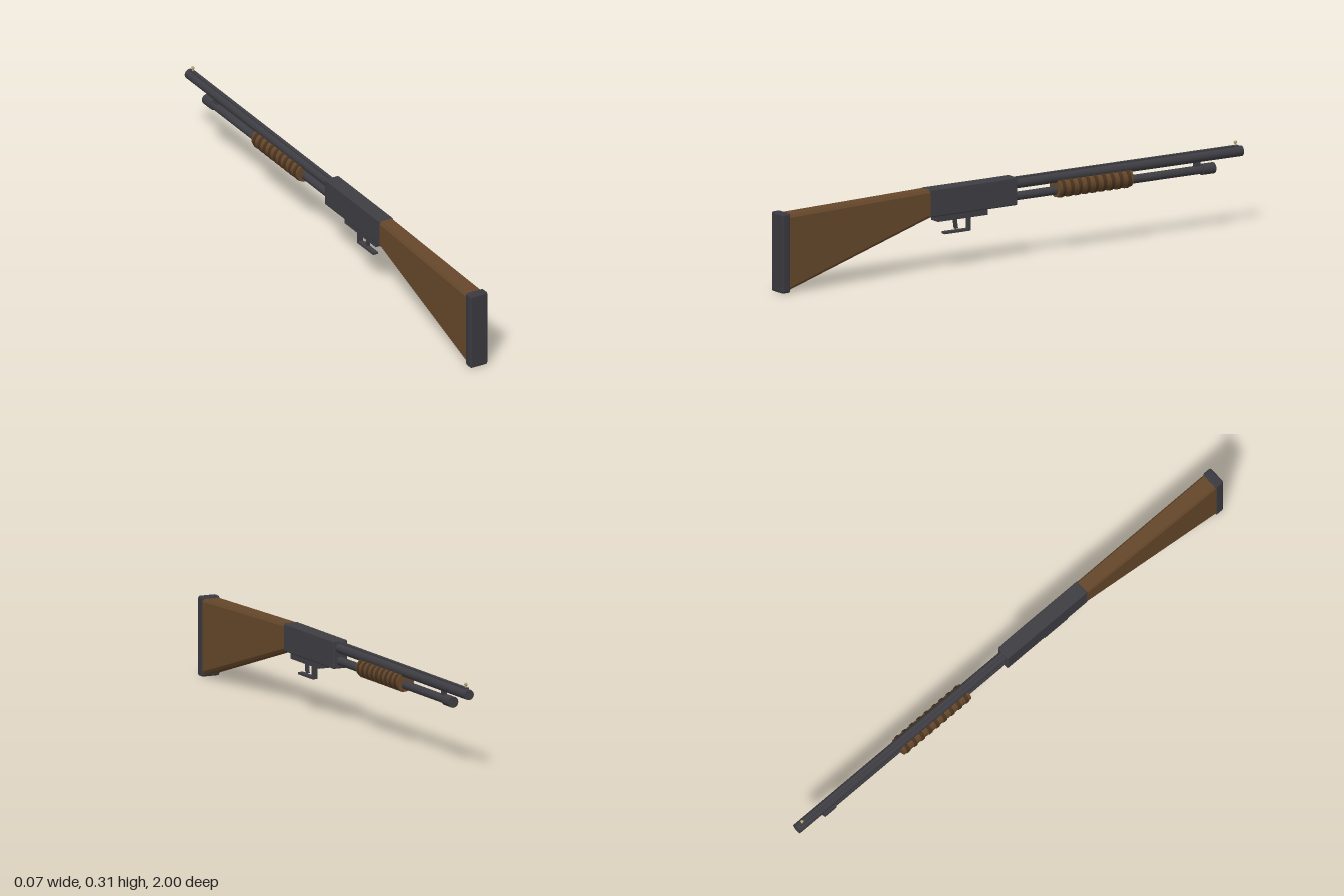
import * as THREE from 'three';
import { RoundedBoxGeometry } from 'three/addons/geometries/RoundedBoxGeometry.js';

const material = (name, color) => {
  const m = new THREE.MeshStandardMaterial({ color });
  m.name = name;
  return m;
};

// Chamfered rectangle outline, counter-clockwise seen from +z
function chamferedOutline(halfWidth, bottom, top, cx, cy) {
  const w = halfWidth;
  return [
    [w, bottom + cy], [w, top - cy], [w - cx, top], [cx - w, top],
    [-w, top - cy], [-w, bottom + cy], [cx - w, bottom], [w - cx, bottom],
  ];
}

// Flat-faced solid between two outlines, front (small z) to rear (large z)
function loft(a, za, b, zb) {
  const pos = [];
  const n = a.length;
  const put = (p, z) => pos.push(p[0], p[1], z);
  for (let i = 0; i < n; i++) {
    const j = (i + 1) % n;
    put(a[i], za); put(a[j], za); put(b[j], zb);
    put(a[i], za); put(b[j], zb); put(b[i], zb);
    if (i > 0 && i < n - 1) {
      put(a[0], za); put(a[j], za); put(a[i], za);
      put(b[0], zb); put(b[i], zb); put(b[j], zb);
    }
  }
  const g = new THREE.BufferGeometry();
  g.setAttribute('position', new THREE.Float32BufferAttribute(pos, 3));
  g.computeVertexNormals();
  return g;
}

export function createModel() {
  const model = new THREE.Group();
  model.name = 'pumpActionGun';
  const metal = material('dark metal', 0x3e3d43);
  const rubber = material('dark rubber', 0x3a393f);
  const wood = material('brown wood', 0x65472a);
  const darkWood = material('dark wood', 0x49331f);
  const brass = material('pale brass', 0xb5a273);

  const add = (name, geometry, mat, x = 0, y = 0, z = 0) => {
    const mesh = new THREE.Mesh(geometry, mat);
    mesh.name = name;
    mesh.position.set(x, y, z);
    model.add(mesh);
    return mesh;
  };
  // Box given by its y and z limits
  const box = (name, mat, width, y0, y1, z0, z1, round = 0, x = 0) => {
    const g = round
      ? new RoundedBoxGeometry(width, y1 - y0, z1 - z0, 2, round)
      : new THREE.BoxGeometry(width, y1 - y0, z1 - z0);
    return add(name, g, mat, x, (y0 + y1) / 2, (z0 + z1) / 2);
  };
  // Cylinder lying along z
  const rod = (name, mat, radius, y, z0, z1) => add(name,
    new THREE.CylinderGeometry(radius, radius, z1 - z0, 24).rotateX(Math.PI / 2),
    mat, 0, y, (z0 + z1) / 2);

  // Stock and butt pad
  add('stock', loft(
    chamferedOutline(0.028, 0.2, 0.3, 0.006, 0.01), 0.355,
    chamferedOutline(0.034, 0.01, 0.284, 0.006, 0.01), 0.97), wood);
  box('buttPad', rubber, 0.072, 0.002, 0.291, 0.963, 1, 0.008);

  // Receiver with side port and bolt slot
  box('receiver', metal, 0.057, 0.2, 0.301, -0.02, 0.36, 0.005);
  box('ejectionPort', metal, 0.005, 0.256, 0.288, 0.075, 0.195, 0, 0.0285);
  box('boltSlot', metal, 0.004, 0.252, 0.256, 0.075, 0.275, 0, 0.0278);

  // Barrel, top rib and magazine tube
  rod('barrel', metal, 0.019, 0.274, -1, -0.01);
  box('topRib', metal, 0.013, 0.285, 0.297, -0.985, -0.01);
  rod('magazineTube', metal, 0.0155, 0.227, -0.84, -0.01);
  rod('magazineCap', metal, 0.02, 0.227, -0.88, -0.827);
  box('barrelClamp', metal, 0.014, 0.235, 0.262, -0.82, -0.798);

  // Sliding fore-end with raised rings
  rod('foreEnd', wood, 0.0335, 0.236, -0.516, -0.2);
  for (let i = 0; i < 9; i++) {
    const z = -0.498 + i * 0.035;
    rod('foreEndRing', darkWood, 0.0365, 0.236, z - 0.0065, z + 0.0065);
  }

  // Trigger group: plate, open guard and slanted trigger
  box('triggerPlate', metal, 0.042, 0.179, 0.205, 0.106, 0.32);
  box('guardPost', metal, 0.02, 0.129, 0.182, 0.173, 0.181);
  box('guardBar', metal, 0.02, 0.128, 0.136, 0.173, 0.283);
  const trigger = box('trigger', metal, 0.012, 0.141, 0.184, 0.227, 0.238);
  trigger.rotation.x = 0.15;

  // Front bead sight
  add('sightPost', new THREE.CylinderGeometry(0.0025, 0.004, 0.014, 12), brass, 0, 0.299, -0.975);
  add('sightBead', new THREE.SphereGeometry(0.006, 16, 12), brass, 0, 0.308, -0.975);

  return model;
}
